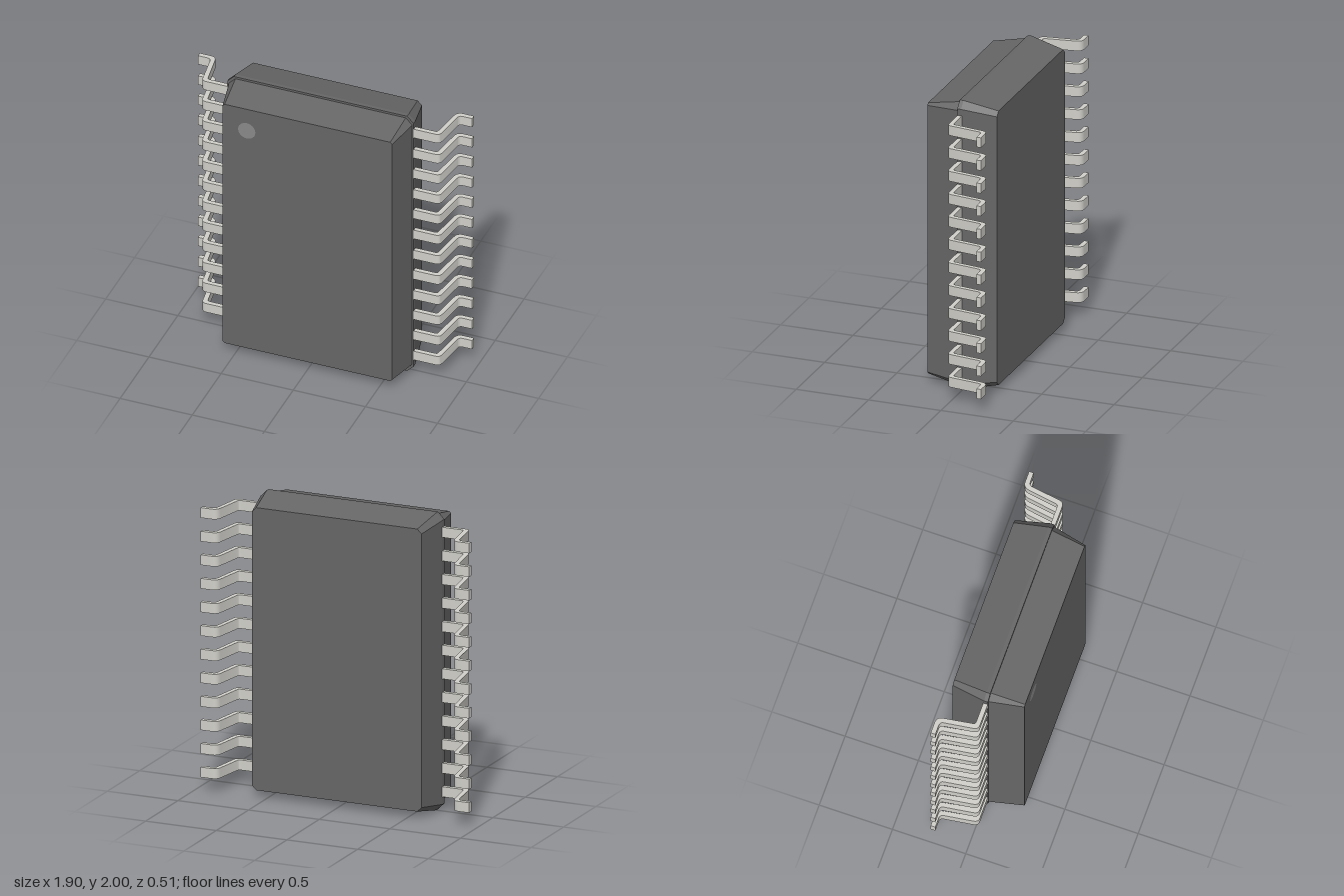
import * as THREE from 'three';
import { toCreasedNormals } from 'three/addons/utils/BufferGeometryUtils.js';

const LEADS = 12, PITCH = 0.1586, LEAD_WIDTH = 0.068, MID_Y = 1.003;

// Rectangle with cut corners at depth z, counter-clockwise seen from the front
function section([z, w, h, c]) {
  return [
    [w, -h + c], [w, h - c], [w - c, h], [-w + c, h],
    [-w, h - c], [-w, -h + c], [-w + c, -h], [w - c, -h],
  ].map(([x, y]) => [x, y + 1, z]);
}

// Faceted solid through the sections, listed from back to front
function loft(rows) {
  const rings = rows.map(section), pos = [], n = 8;
  const tri = (...pts) => pts.forEach((p) => pos.push(...p));
  for (let i = 0; i < rings.length - 1; i++) {
    for (let j = 0; j < n; j++) {
      const k = (j + 1) % n;
      const a = rings[i][j], b = rings[i][k], c = rings[i + 1][k], d = rings[i + 1][j];
      tri(a, b, c);
      tri(a, c, d);
    }
  }
  const back = rings[0], front = rings[rings.length - 1];
  for (let j = 1; j < n - 1; j++) {
    tri(back[0], back[j + 1], back[j]);
    tri(front[0], front[j], front[j + 1]);
  }
  const geo = new THREE.BufferGeometry();
  geo.setAttribute('position', new THREE.Float32BufferAttribute(pos, 3));
  geo.computeVertexNormals();
  return geo;
}

// Gull-wing lead: S-shaped strip profile (x, -z) extruded along y
function leadGeometry() {
  const s = new THREE.Shape();
  s.moveTo(0.6, -0.025);
  s.lineTo(0.795, -0.025);
  s.quadraticCurveTo(0.826, -0.025, 0.83, 0.01);
  s.lineTo(0.857, 0.2);
  s.quadraticCurveTo(0.86, 0.225, 0.885, 0.225);
  s.lineTo(0.95, 0.225);
  s.lineTo(0.95, 0.257);
  s.lineTo(0.875, 0.257);
  s.quadraticCurveTo(0.834, 0.257, 0.828, 0.215);
  s.lineTo(0.798, 0.02);
  s.quadraticCurveTo(0.796, 0.006, 0.78, 0.006);
  s.lineTo(0.6, 0.006);
  s.closePath();
  const geo = new THREE.ExtrudeGeometry(s, { depth: LEAD_WIDTH, bevelEnabled: false, curveSegments: 6 });
  geo.translate(0, 0, -LEAD_WIDTH / 2);
  geo.rotateX(-Math.PI / 2);
  return toCreasedNormals(geo, 0.6);
}

export function createModel() {
  const model = new THREE.Group();
  model.name = 'chipPackage';
  const plastic = new THREE.MeshStandardMaterial({ color: 0x666666 });
  const metal = new THREE.MeshStandardMaterial({ color: 0xd0cfc9 });

  // Body: [z, half width, half height, corner cut], with a small step at the parting line
  const body = new THREE.Mesh(loft([
    [-0.23, 0.6, 0.95, 0.03],
    [0, 0.645, 1, 0.045],
    [0.026, 0.645, 1, 0.045],
    [0.026, 0.635, 0.985, 0.045],
    [0.255, 0.588, 0.938, 0.014],
  ]), plastic);
  body.name = 'body';
  model.add(body);

  // Round mark beside the first lead
  const mark = new THREE.Mesh(new THREE.CircleGeometry(0.06, 24), new THREE.MeshStandardMaterial({ color: 0x888888 }));
  mark.name = 'orientationMark';
  mark.position.set(-0.42, 1.77, 0.256);
  model.add(mark);

  // Leads on both sides; the right row is the left row turned half round
  const geo = leadGeometry();
  for (const side of ['left', 'right']) {
    const row = new THREE.Group();
    row.name = side + 'Leads';
    row.position.y = MID_Y;
    if (side === 'right') row.rotation.z = Math.PI;
    for (let i = 0; i < LEADS; i++) {
      const lead = new THREE.Mesh(geo, metal);
      lead.name = 'lead';
      lead.position.y = (i - (LEADS - 1) / 2) * PITCH;
      row.add(lead);
    }
    model.add(row);
  }
  return model;
}
